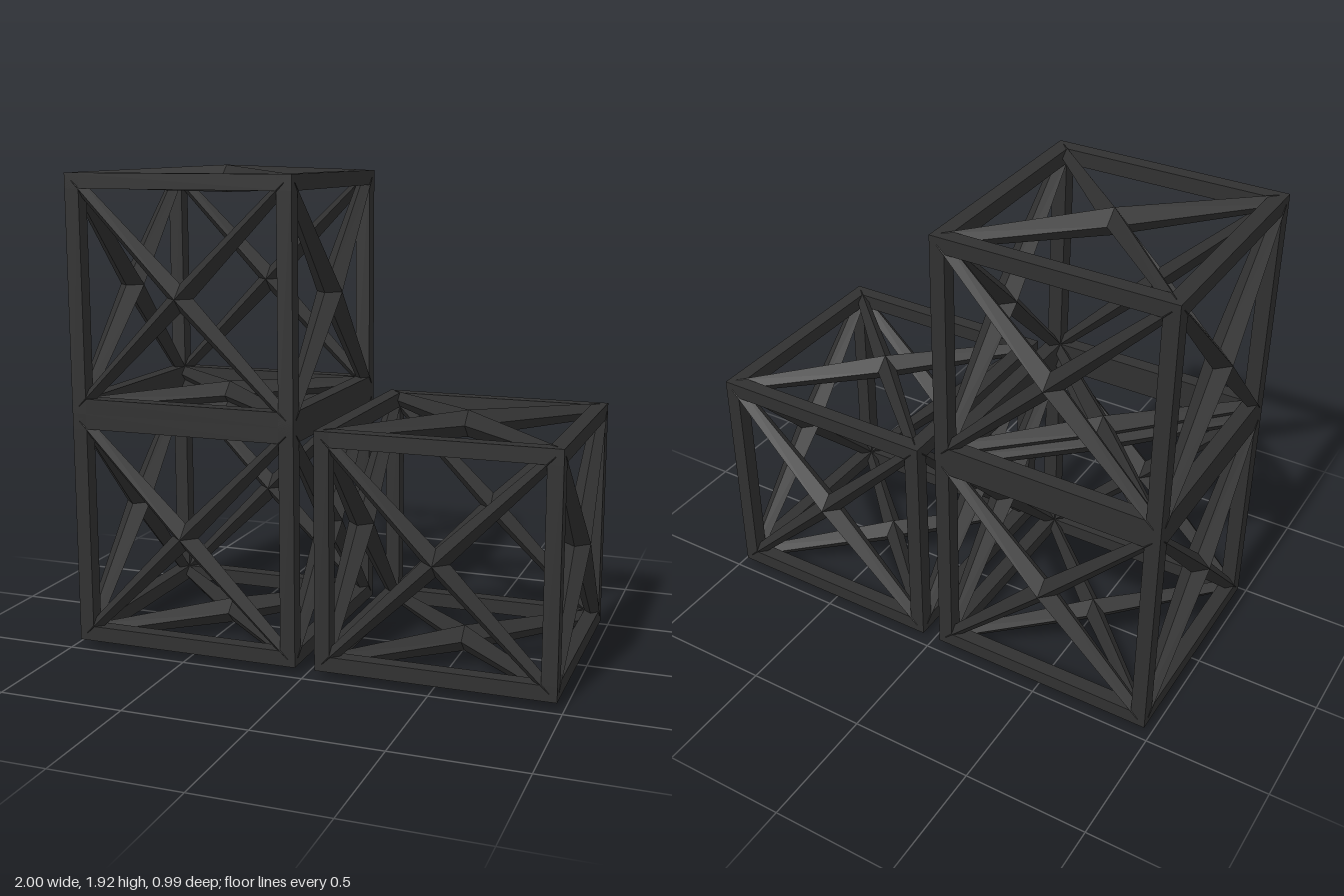
import * as THREE from 'three';

const HALF = 0.467;        // half size of a frame's outer edges
const BAR = 0.06;          // edge bar thickness
const AXIS = HALF - BAR / 2;

const material = new THREE.MeshStandardMaterial({ color: 0x303030, flatShading: true });

// Four-sided spindle along y: thin at the ends, thick in the middle
function spindleGeometry() {
  const geo = new THREE.CylinderGeometry(1, 1, AXIS * 2 * Math.SQRT2, 4, 2);
  const p = geo.attributes.position;
  for (let i = 0; i < p.count; i++) {
    const middle = Math.abs(p.getY(i)) < 0.01;
    p.setX(i, p.getX(i) * (middle ? 0.054 : 0.03));
    p.setZ(i, p.getZ(i) * (middle ? 0.04 : 0.023));
  }
  geo.computeVertexNormals();
  return geo;
}

const axisVector = (i) => new THREE.Vector3().setComponent(i, 1);

function createFrame(barGeo, braceGeo) {
  const frame = new THREE.Group();
  const signs = [-1, 1];

  for (let a = 0; a < 3; a++) {
    const n = axisVector(a), u = axisVector((a + 1) % 3), v = axisVector((a + 2) % 3);

    // Four edge bars parallel to this axis
    for (const s of signs) for (const t of signs) {
      const bar = new THREE.Mesh(barGeo, material);
      bar.name = 'edgeBar';
      bar.quaternion.setFromUnitVectors(axisVector(1), n);
      bar.position.addScaledVector(u, s * AXIS).addScaledVector(v, t * AXIS);
      frame.add(bar);
    }

    // Crossed braces on the two faces square to this axis
    for (const side of signs) for (const t of signs) {
      const along = u.clone().addScaledVector(v, t).normalize();
      const across = new THREE.Vector3().crossVectors(n, along);
      const brace = new THREE.Mesh(braceGeo, material);
      brace.name = 'diagonalBrace';
      brace.quaternion.setFromRotationMatrix(new THREE.Matrix4().makeBasis(n, along, across));
      brace.position.addScaledVector(n, side * (AXIS + 0.002));
      frame.add(brace);
    }
  }
  return frame;
}

export function createModel() {
  const model = new THREE.Group();
  model.name = 'stackedFrames';
  const barGeo = new THREE.BoxGeometry(BAR, HALF * 2, BAR);
  const braceGeo = spindleGeometry();

  // Two frames stacked on the right, one beside them
  const places = [
    ['lowerFrame', -0.507, 0.493],
    ['upperFrame', -0.507, 1.427],
    ['sideFrame', 0.507, 0.493],
  ];
  for (const [name, x, y] of places) {
    const frame = createFrame(barGeo, braceGeo);
    frame.name = name;
    frame.position.set(x, y, 0);
    model.add(frame);
  }
  return model;
}
